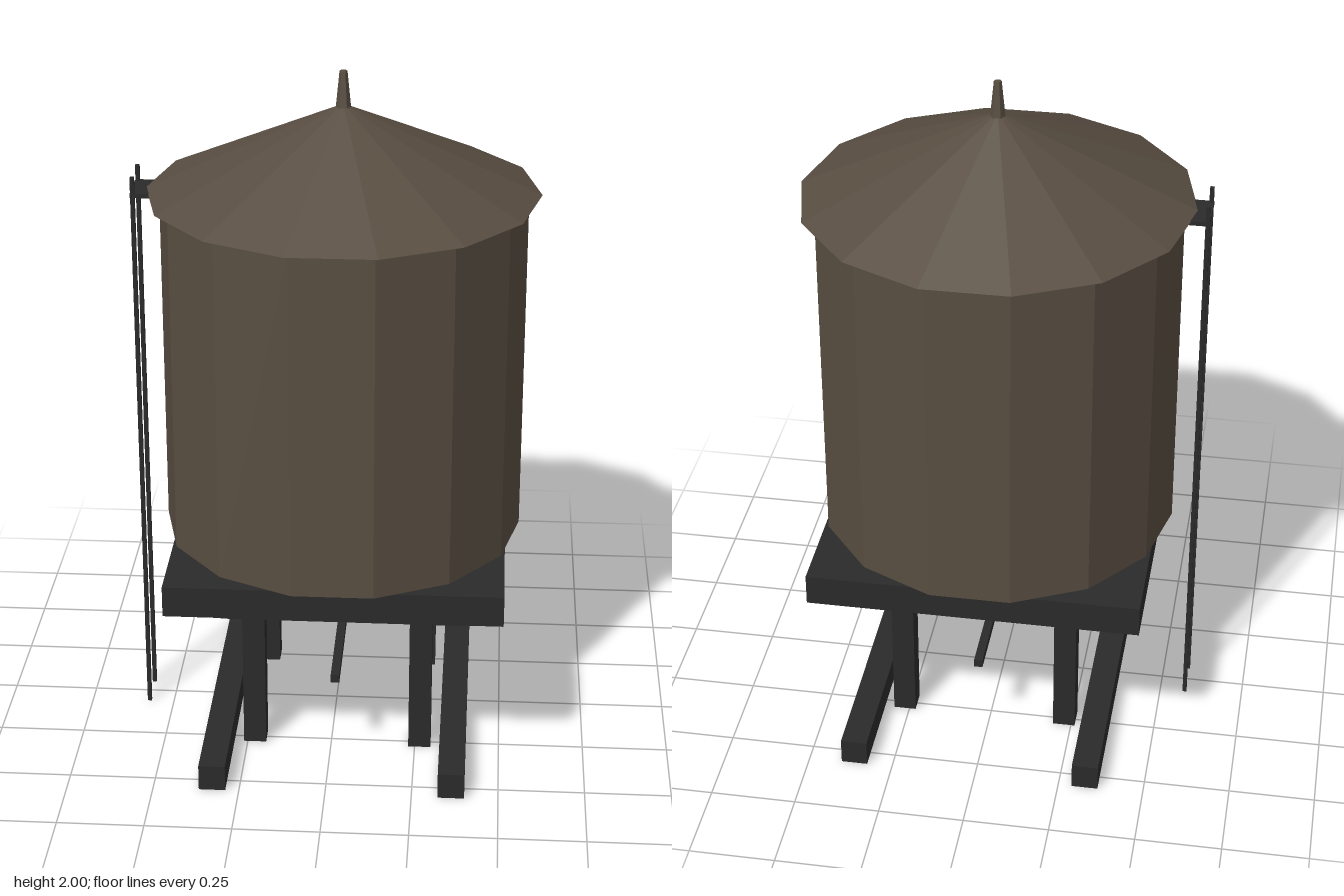
import * as THREE from 'three';

export function createModel() {
  const model = new THREE.Group();
  model.name = 'waterTower';

  // Tank, roof and platform are open shells, so both materials are two-sided
  const wood = new THREE.MeshStandardMaterial({ color: 0x584d41, side: THREE.DoubleSide });
  wood.name = 'weathered brown';
  wood.flatShading = true;
  const metal = new THREE.MeshStandardMaterial({ color: 0x2a2a2a, side: THREE.DoubleSide });
  metal.name = 'dark iron';

  const CX = 0.018; // tower axis; the ladder pushes it off centre
  const SIDES = 14;

  // Round part from y0 to y1, with a corner pointing along +x
  function round(name, rTop, rBottom, y0, y1, sides, open) {
    const g = new THREE.CylinderGeometry(rTop, rBottom, y1 - y0, sides, 1, open);
    g.rotateY(Math.PI / 2);
    const mesh = new THREE.Mesh(g, wood);
    mesh.name = name;
    mesh.position.set(CX, (y0 + y1) / 2, 0);
    model.add(mesh);
  }

  // Box from y0 to y1, with x measured from the tower axis
  function box(name, w, d, y0, y1, x, z) {
    const mesh = new THREE.Mesh(new THREE.BoxGeometry(w, y1 - y0, d), metal);
    mesh.name = name;
    mesh.position.set(CX + x, (y0 + y1) / 2, z);
    model.add(mesh);
    return mesh;
  }

  // Tank, conical roof and finial
  round('tank', 0.525, 0.525, 0.622, 1.652, SIDES, true);
  round('roof', 0, 0.562, 1.648, 1.905, SIDES, true);
  round('finial', 0.011, 0.023, 1.88, 2, 6, false);

  // Platform: a shallow tray, open underneath (the fourth box face is left out)
  const platform = box('platform', 0.968, 0.968, 0.53, 0.622, 0, 0).geometry;
  const corners = Array.from(platform.index.array);
  corners.splice(18, 6);
  platform.setIndex(corners);
  platform.clearGroups();

  // Legs and ground skids
  for (const sx of [-1, 1]) {
    for (const sz of [-1, 1]) box('leg', 0.066, 0.066, 0, 0.535, sx * 0.246, sz * 0.246);
    box('skid', 0.077, 1.104, 0, 0.078, sx * 0.346, 0);
  }

  // Crossed braces between the legs
  box('braceAcross', 0.747, 0.025, 0.267, 0.292, 0, 0);
  box('braceAlong', 0.025, 0.747, 0.267, 0.292, 0, 0);

  // Ladder rails and the top plate that ties them to the tank
  for (const sz of [-1, 1]) box('ladderRail', 0.012, 0.012, 0, 1.695, -0.593, sz * 0.057);
  box('ladderTopPlate', 0.085, 0.128, 1.636, 1.649, -0.5575, 0);

  return model;
}
